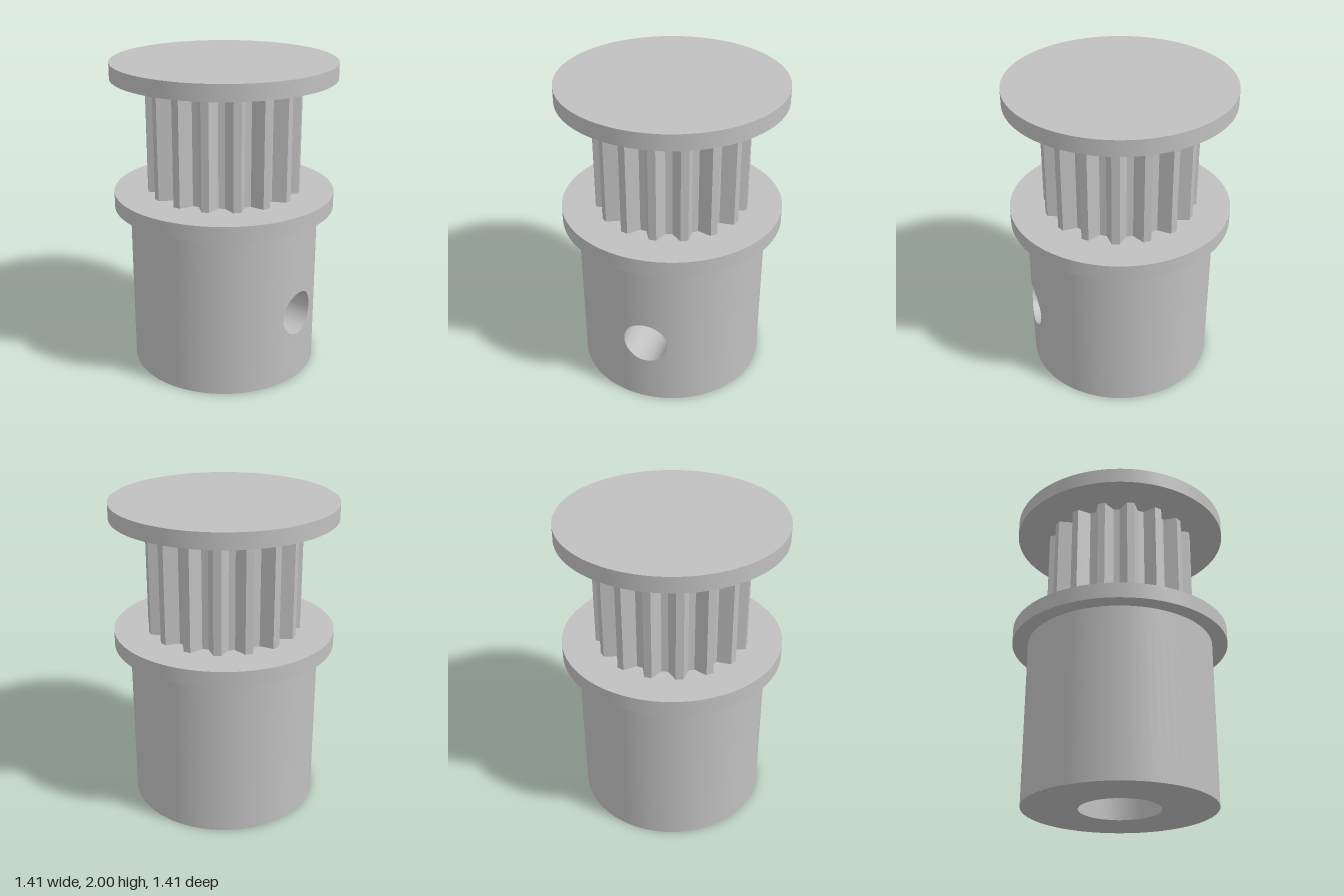
import * as THREE from 'three';
import { toCreasedNormals } from 'three/addons/utils/BufferGeometryUtils.js';

const BORE = 0.256, BODY = 0.605, FLANGE = 0.705;
const BODY_TOP = 1.075, FLANGE_T = 0.1;
const HOLE_Y = 0.455, HOLE_R = 0.143;

// Quads between successive rows of points; normalAt is optional, flip turns the faces over
function grid(rows, flip, normalAt) {
  const pos = [], nor = [];
  for (let i = 0; i < rows.length - 1; i++) {
    for (let j = 0; j < rows[i].length - 1; j++) {
      const a = rows[i][j], b = rows[i + 1][j], c = rows[i + 1][j + 1], d = rows[i][j + 1];
      for (const p of flip ? [a, c, b, a, d, c] : [a, b, c, a, c, d]) {
        pos.push(p.x, p.y, p.z);
        if (normalAt) nor.push(...normalAt(p));
      }
    }
  }
  const g = new THREE.BufferGeometry();
  g.setAttribute('position', new THREE.Float32BufferAttribute(pos, 3));
  if (!normalAt) return toCreasedNormals(g, 0.6);
  g.setAttribute('normal', new THREE.Float32BufferAttribute(nor, 3));
  return g;
}

// Point on the +x side of a cylinder, w running towards -z
const onWall = (r, w, y) => new THREE.Vector3(Math.sqrt(r * r - w * w), y, -w);

// Cylinder wall with a round hole on +x: a patch around the hole plus the remaining arc
function wallWithHole(r, halfW, flip) {
  const s = flip ? -1 : 1;
  const normalAt = (p) => [s * p.x / r, 0, s * p.z / r];
  const corners = [[halfW, 0], [halfW, BODY_TOP], [-halfW, BODY_TOP], [-halfW, 0], [halfW, 0]];
  const outline = [];
  for (let k = 0; k < 4; k++) {
    for (let i = k ? 1 : 0; i <= 20; i++) {
      const t = i / 20;
      outline.push([0, 1].map((n) => corners[k][n] * (1 - t) + corners[k + 1][n] * t));
    }
  }
  const rows = [];
  for (let i = 0; i <= 8; i++) {
    const t = i / 8;
    rows.push(outline.map(([w, y]) => {
      const a = Math.atan2(y - HOLE_Y, w);
      return onWall(r,
        HOLE_R * Math.cos(a) * (1 - t) + w * t,
        (HOLE_Y + HOLE_R * Math.sin(a)) * (1 - t) + y * t);
    }));
  }
  const phi = Math.asin(halfW / r);
  const arc = [BODY_TOP, 0].map((y) => Array.from({ length: 65 }, (_, j) => {
    const a = Math.PI / 2 + phi + (2 * Math.PI - 2 * phi) * j / 64;
    return new THREE.Vector3(r * Math.sin(a), y, r * Math.cos(a));
  }));
  return [grid(rows, flip, normalAt), grid(arc, flip, normalAt)];
}

// Upright extrusion of a shape, with an optional centre bore
function upright(shape, y, height, bored) {
  if (bored) shape.holes.push(new THREE.Path().absarc(0, 0, BORE, 0, Math.PI * 2, true));
  const g = new THREE.ExtrudeGeometry(shape, { depth: height, bevelEnabled: false, curveSegments: 72 });
  g.rotateX(-Math.PI / 2).translate(0, y, 0);
  return toCreasedNormals(g, 0.25);
}

// Sixteen teeth, each a quarter pitch of tip, flank, floor and flank
function toothShape() {
  const pts = [];
  for (let i = 0; i < 64; i++) {
    const a = i * Math.PI / 32;
    const r = i % 4 < 2 ? 0.49 : 0.41;
    pts.push(new THREE.Vector2(r * Math.sin(a), -r * Math.cos(a)));
  }
  return new THREE.Shape(pts);
}

const disc = (r) => new THREE.Shape().absarc(0, 0, r, 0, Math.PI * 2, false);

export function createModel() {
  const model = new THREE.Group();
  model.name = 'timingPulley';
  const metal = new THREE.MeshStandardMaterial({ color: 0xc0c0c0 });
  metal.name = 'greyMetal';
  const add = (name, geometry, parent = model) => {
    const mesh = new THREE.Mesh(geometry, metal);
    mesh.name = name;
    parent.add(mesh);
  };

  // Hub with centre bore and set screw hole
  const hub = new THREE.Group();
  hub.name = 'hub';
  model.add(hub);
  for (const g of wallWithHole(BODY, 0.3, false)) add('hubWall', g, hub);
  for (const g of wallWithHole(BORE, 0.2, true)) add('boreWall', g, hub);
  add('hubBase', new THREE.RingGeometry(BORE, BODY, 72).rotateX(Math.PI / 2), hub);
  const holeRows = [BODY, BORE].map((r) => Array.from({ length: 49 }, (_, j) => {
    const a = j * Math.PI / 24;
    return onWall(r, HOLE_R * Math.cos(a), HOLE_Y + HOLE_R * Math.sin(a));
  }));
  add('setScrewHole', grid(holeRows, true), hub);

  // Toothed drum between two flanges
  const drumY = BODY_TOP + FLANGE_T, capY = 2 - FLANGE_T;
  add('lowerFlange', upright(disc(FLANGE), BODY_TOP, FLANGE_T, true));
  add('toothedDrum', upright(toothShape(), drumY, capY - drumY, true));
  add('upperFlange', upright(disc(FLANGE), capY, FLANGE_T, false));
  return model;
}
